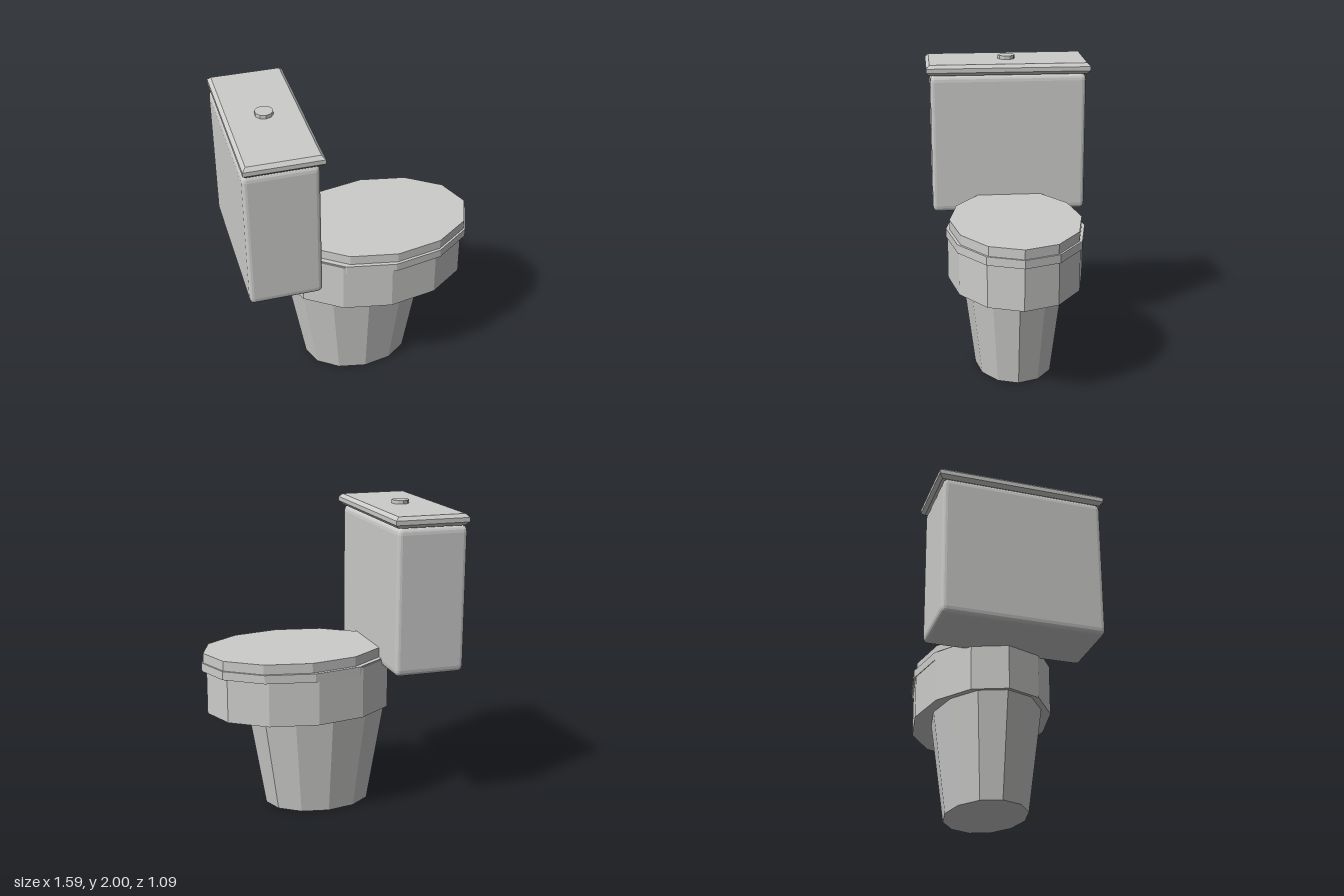
import * as THREE from 'three';
import { RoundedBoxGeometry } from 'three/addons/geometries/RoundedBoxGeometry.js';

export function createModel() {
  const model = new THREE.Group();
  model.name = 'toilet';
  const ceramic = new THREE.MeshStandardMaterial({ color: 0xcccccb, flatShading: true });
  ceramic.name = 'ceramic';

  function add(name, geometry, x, y, z = 0) {
    const mesh = new THREE.Mesh(geometry, ceramic);
    mesh.name = name;
    mesh.position.set(x, y, z);
    model.add(mesh);
    return mesh;
  }

  // Twelve-sided oval drum from y0 to y1, optionally narrower at the bottom
  function oval(name, x, y0, y1, rx, rz, taper = 1) {
    const g = new THREE.CylinderGeometry(1, taper, y1 - y0, 12);
    g.scale(rx, 1, rz);
    return add(name, g, x, (y0 + y1) / 2);
  }

  // Pedestal, bowl, seat and seat lid
  oval('pedestal', 0.018, 0, 0.68, 0.475, 0.348, 0.752);
  oval('bowl', 0.14, 0.67, 1.005, 0.62, 0.44);
  oval('seat', 0.165, 0.957, 1.012, 0.626, 0.449);
  oval('seatLid', 0.18, 1.01, 1.075, 0.6, 0.427);

  // Tank with softened edges, a little taller along y
  const tank = new RoundedBoxGeometry(0.46, 0.94 / 1.5, 1.04, 2, 0.028);
  tank.scale(1, 1.5, 1);
  add('tank', tank, -0.568, 1.43);

  // Chamfered tank lid
  const c = 0.022, hx = 0.242 - c, hz = 0.546 - c;
  const outline = new THREE.Shape([
    new THREE.Vector2(-hx, -hz), new THREE.Vector2(hx, -hz),
    new THREE.Vector2(hx, hz), new THREE.Vector2(-hx, hz),
  ]);
  const lid = new THREE.ExtrudeGeometry(outline, {
    depth: 0.028, bevelEnabled: true, bevelSize: c, bevelThickness: c, bevelSegments: 1,
  });
  lid.rotateX(-Math.PI / 2);
  add('tankLid', lid, -0.554, 1.926);

  // Hidden neck joining tank and lid
  add('tankNeck', new THREE.BoxGeometry(0.4, 0.04, 0.98), -0.568, 1.9);

  // Flush button
  add('flushButton', new THREE.CylinderGeometry(0.057, 0.057, 0.04, 10), -0.55, 1.98);

  return model;
}
